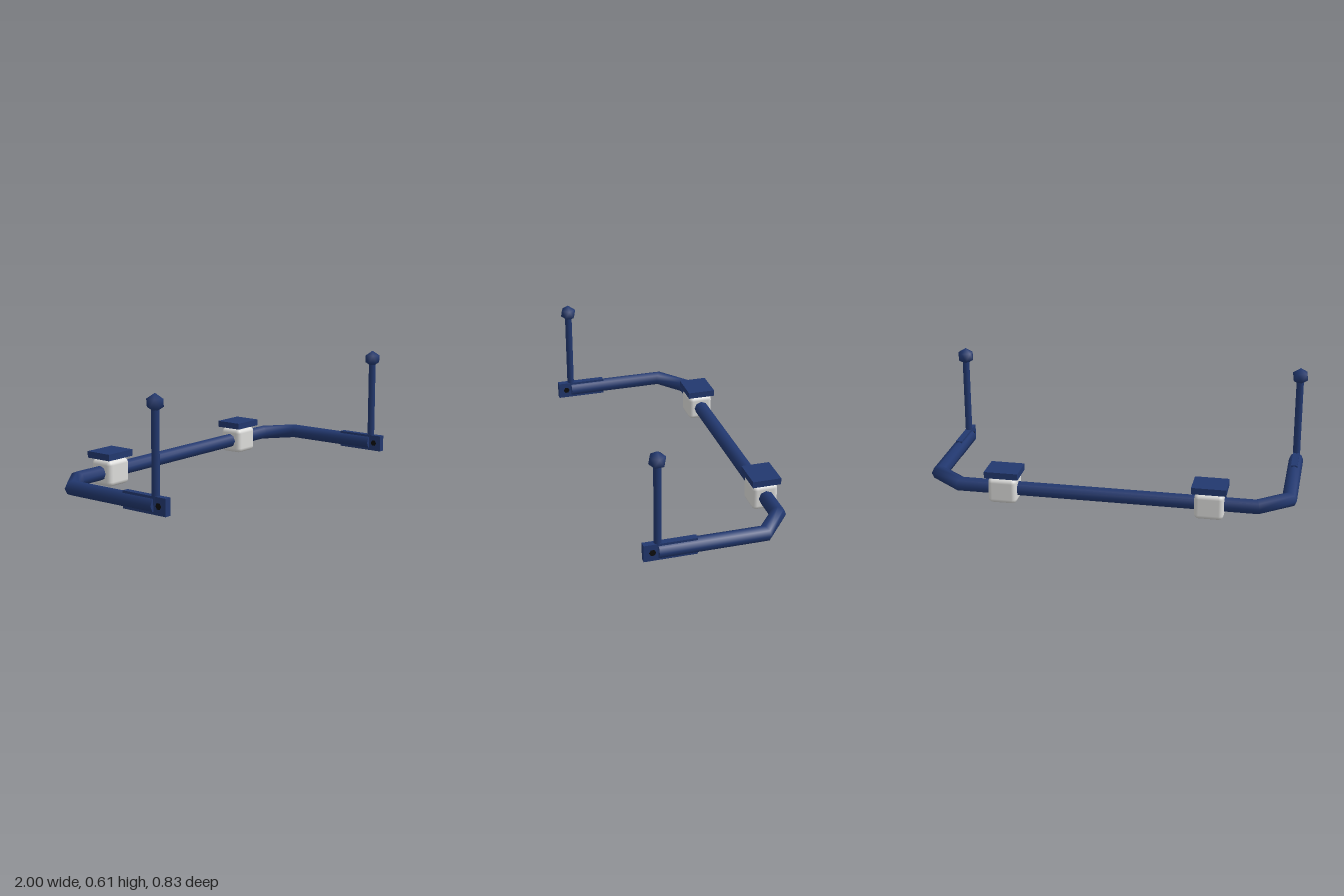
import * as THREE from 'three';
import { mergeVertices } from 'three/addons/utils/BufferGeometryUtils.js';
import { RoundedBoxGeometry } from 'three/addons/geometries/RoundedBoxGeometry.js';

const BAR_Y = 0.07, BAR_R = 0.04, ARM_X = 0.957, LINK_Z = 0.34, MOUNT_Z = -0.34;

// Octagonal tube with mitred corners along a path of [x, z] points
function mitredTube(path, radius, sides) {
  const pts = path.map(([x, z]) => new THREE.Vector3(x, BAR_Y, z));
  const pos = [], index = [];
  const dir = (a, b) => b.clone().sub(a).normalize();
  pts.forEach((p, i) => {
    const tIn = dir(pts[Math.max(i - 1, 0)], pts[Math.max(i, 1)]);
    const last = pts.length - 1;
    const tOut = dir(pts[Math.min(i, last - 1)], pts[Math.min(i + 1, last)]);
    const t = tIn.clone().add(tOut).normalize();
    const wide = radius / t.dot(tIn);
    for (let j = 0; j < sides; j++) {
      const a = (j / sides) * Math.PI * 2;
      const s = Math.cos(a) * wide;
      pos.push(p.x - t.z * s, p.y + Math.sin(a) * radius, p.z + t.x * s);
      if (i < last) {
        const k = (j + 1) % sides, r0 = i * sides, r1 = r0 + sides;
        index.push(r0 + j, r1 + j, r1 + k, r0 + j, r1 + k, r0 + k);
      }
    }
  });
  const g = new THREE.BufferGeometry();
  g.setAttribute('position', new THREE.Float32BufferAttribute(pos, 3));
  g.setIndex(index);
  g.computeVertexNormals();
  return g;
}

// Smooth icosahedron standing on one of its corners
function ballGeometry(radius) {
  let g = new THREE.IcosahedronGeometry(radius, 0);
  g.deleteAttribute('uv');
  g.deleteAttribute('normal');
  g = mergeVertices(g);
  g.rotateZ(-Math.atan(2 / (1 + Math.sqrt(5))));
  g.computeVertexNormals();
  return g;
}

export function createModel() {
  const group = new THREE.Group();
  const mat = (name, color) => {
    const m = new THREE.MeshStandardMaterial({ color });
    m.name = name;
    return m;
  };
  const navy = mat('navy metal', 0x22386f);
  const pale = mat('pale rubber', 0xdcdcda);
  const black = mat('black', 0x0c0c0c);

  const add = (name, geometry, material, x, y, z) => {
    const mesh = new THREE.Mesh(geometry, material);
    mesh.name = name;
    mesh.position.set(x, y, z);
    group.add(mesh);
    return mesh;
  };

  // Bent bar
  const half = [[0.8, MOUNT_Z], [ARM_X, -0.215], [ARM_X, LINK_Z]];
  const path = [...half.map(([x, z]) => [-x, z]).reverse(), ...half];
  add('bar', mitredTube(path, BAR_R, 8), navy, 0, 0, 0);

  for (const side of [1, -1]) {
    const s = side > 0 ? 'left' : 'right';
    const x = side * ARM_X;

    // Arm end: cap, flat tab and bolt hole
    add(s + 'ArmCap', new THREE.CircleGeometry(BAR_R, 8), navy, x, BAR_Y, LINK_Z);
    add(s + 'Tab', new THREE.BoxGeometry(0.035, 0.09, 0.275), navy, x, BAR_Y, 0.2775);
    const hole = new THREE.CylinderGeometry(0.018, 0.018, 0.037, 6).rotateZ(Math.PI / 2);
    add(s + 'BoltHole', hole, black, x, BAR_Y, 0.37);

    // Upright link with ball joint
    add(s + 'LinkRod', new THREE.CylinderGeometry(0.02, 0.02, 0.48, 8), navy, x, 0.31, LINK_Z);
    add(s + 'BallJoint', ballGeometry(0.0475), navy, x, 0.565, LINK_Z);

    // Bushing with mounting plate above
    const mx = side * 0.553;
    add(s + 'Bushing', new RoundedBoxGeometry(0.155, 0.14, 0.138, 2, 0.025), pale, mx, 0.07, MOUNT_Z + 0.002);
    add(s + 'MountPlate', new THREE.BoxGeometry(0.183, 0.035, 0.154), navy, mx, 0.164, MOUNT_Z + 0.002);
  }
  return group;
}
